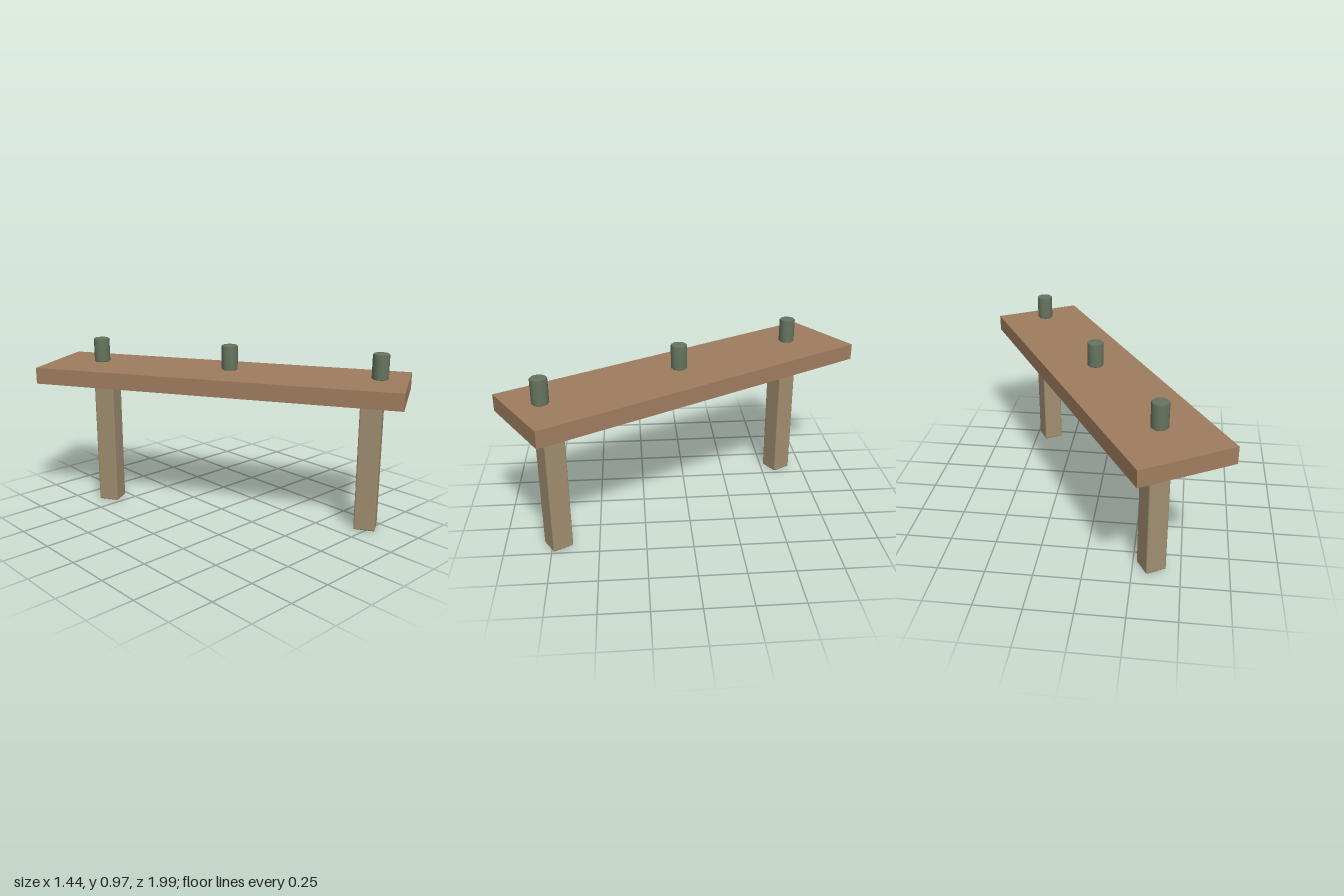
import * as THREE from 'three';
import { RoundedBoxGeometry } from 'three/addons/geometries/RoundedBoxGeometry.js';

const TURN = Math.PI / 6; // the whole bench stands turned on its vertical axis

export function createModel() {
  const group = new THREE.Group();
  group.name = 'benchWithCans';

  const plankMat = new THREE.MeshStandardMaterial({ color: 0xa07d5f });
  const legMat = new THREE.MeshStandardMaterial({ color: 0xa08e70 });
  const canMat = new THREE.MeshStandardMaterial({ color: 0x66745f });

  const add = (name, geometry, material, x, y, z) => {
    const mesh = new THREE.Mesh(geometry, material);
    mesh.name = name;
    mesh.position.set(x, y, z);
    mesh.rotation.y = TURN;
    group.add(mesh);
  };

  // Plank top
  add('plank', new THREE.BoxGeometry(0.506, 0.09, 2.01), plankMat, 0, 0.78, 0);

  // Square posts with slightly bevelled edges
  const legHeight = 0.738;
  const legGeo = new RoundedBoxGeometry(0.115, legHeight, 0.115, 1, 0.007);
  add('backLeg', legGeo, legMat, -0.347, legHeight / 2, -0.597);
  add('frontLeg', legGeo, legMat, 0.412, legHeight / 2, 0.717);

  // Three cans, hovering just above the plank, with softened rims
  const r = 0.044, h = 0.134, b = 0.005;
  const canProfile = [
    [0, 0], [r - b, 0], [r, b], [r, h - b], [r - b, h], [0, h],
  ].map(([x, y]) => new THREE.Vector2(x, y));
  const canGeo = new THREE.LatheGeometry(canProfile, 24);
  [[-0.36, -0.62], [0.022, 0.042], [0.428, 0.745]].forEach(([x, z], i) =>
    add(`can${i + 1}`, canGeo, canMat, x, 0.833, z));

  return group;
}
